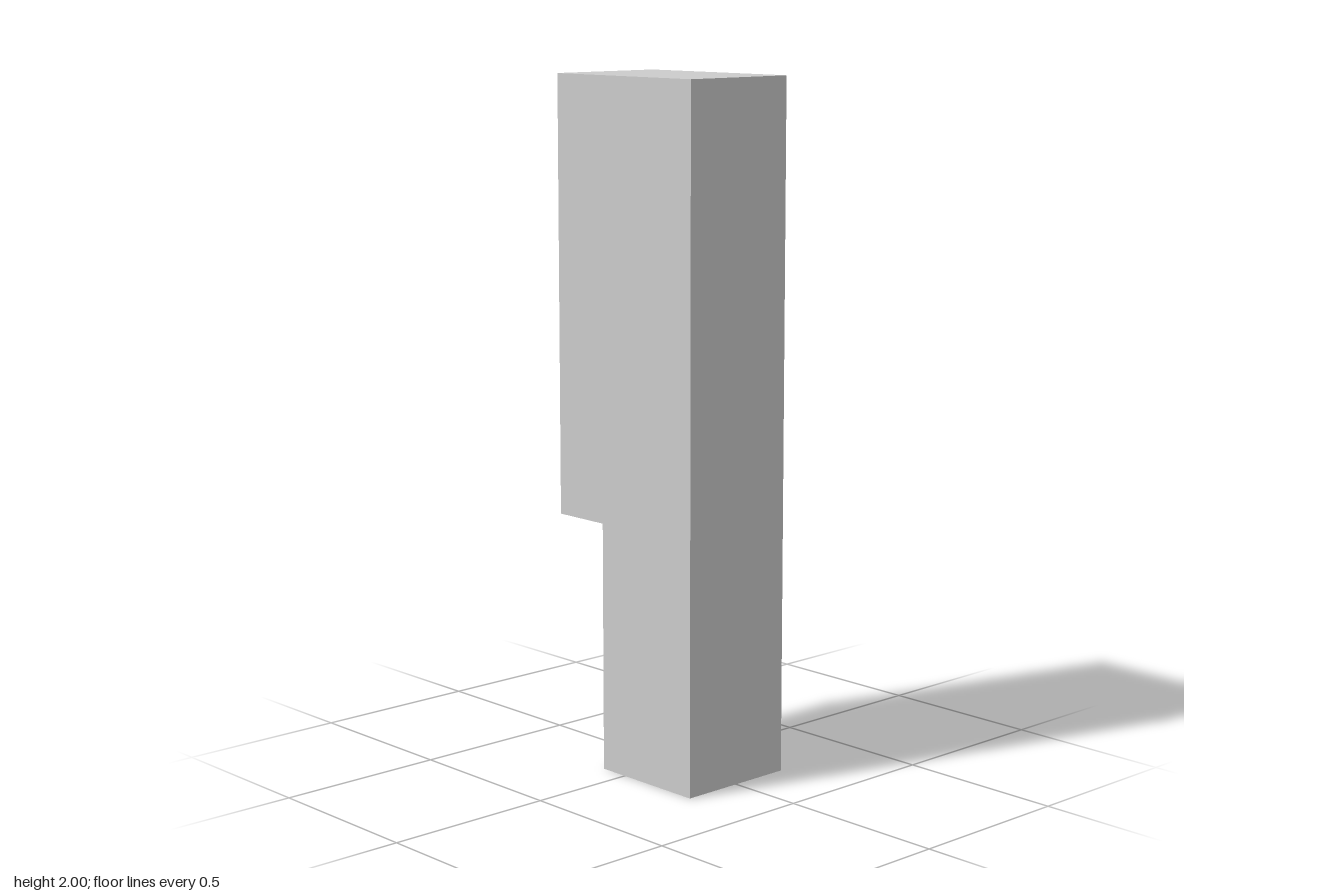
import * as THREE from 'three';

const WIDTH = 0.364;
const FRONT = 0.273, BACK = -0.273;
const NOTCH_Z = -0.09, NOTCH_Y = 0.73, TOP = 2;

export function createModel() {
  const group = new THREE.Group();
  group.name = 'notchedPost';

  // Side profile as (z, y): a post with its lower back cut away
  const profile = new THREE.Shape([
    [NOTCH_Z, 0], [FRONT, 0], [FRONT, TOP],
    [BACK, TOP], [BACK, NOTCH_Y], [NOTCH_Z, NOTCH_Y],
  ].map(([z, y]) => new THREE.Vector2(z, y)));

  // Extrude across the width, then turn the profile's first axis onto +z
  const geometry = new THREE.ExtrudeGeometry(profile, { depth: WIDTH, bevelEnabled: false });
  geometry.translate(0, 0, -WIDTH / 2);
  geometry.rotateY(-Math.PI / 2);

  const post = new THREE.Mesh(
    geometry,
    new THREE.MeshStandardMaterial({ color: 0xcccccc, flatShading: true })
  );
  post.name = 'post';
  group.add(post);
  return group;
}
